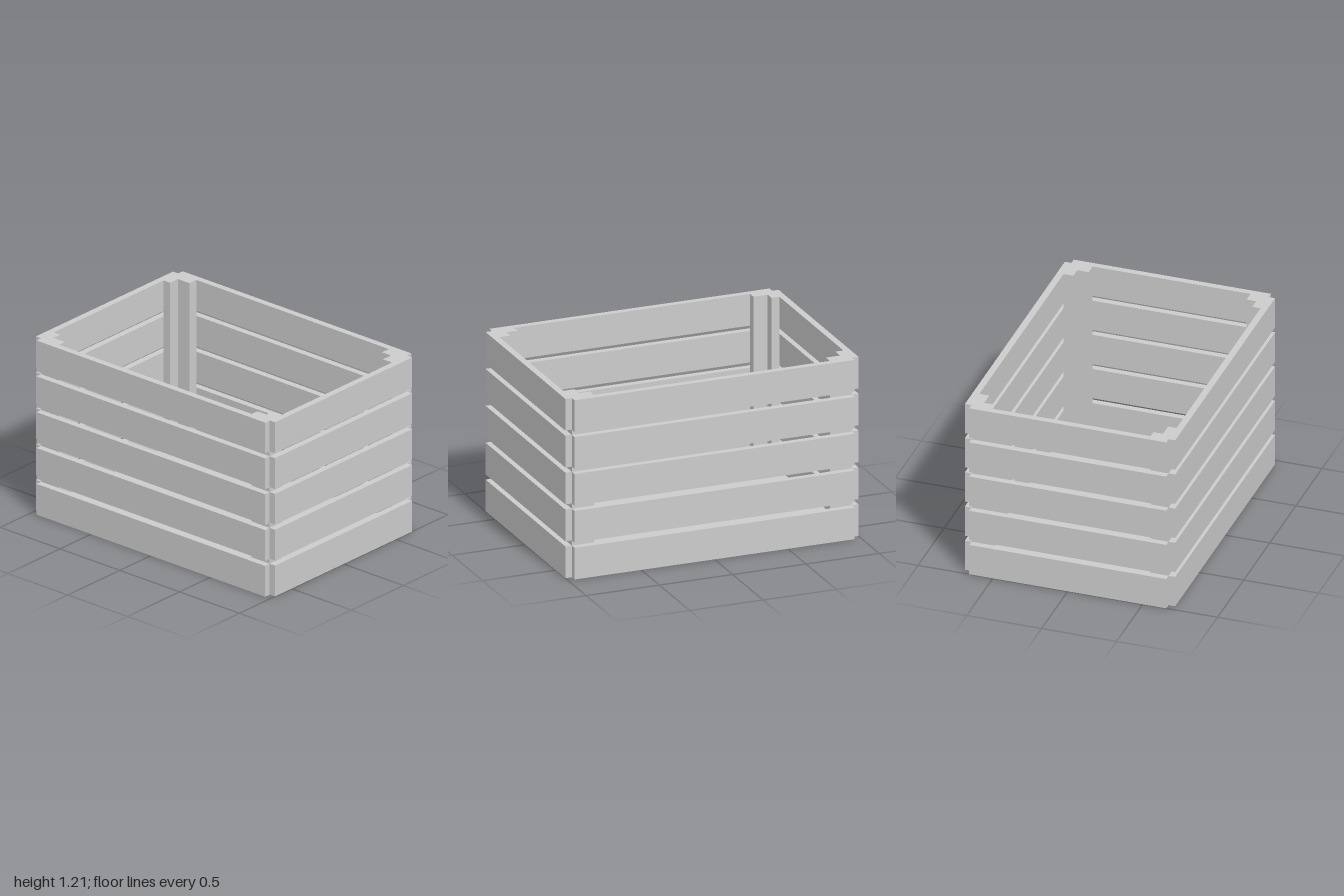
import * as THREE from 'three';

const material = new THREE.MeshStandardMaterial({ color: 0xcccccc, flatShading: true });

// Box given by its lower and upper limits on each axis
function board(name, [x0, x1], [y0, y1], [z0, z1]) {
  const mesh = new THREE.Mesh(new THREE.BoxGeometry(x1 - x0, y1 - y0, z1 - z0), material);
  mesh.position.set((x0 + x1) / 2, (y0 + y1) / 2, (z0 + z1) / 2);
  mesh.name = name;
  return mesh;
}

// Upright with an L-shaped section; corner is the outer edge, the rest are inner limits
function cornerPost(name, corner, longX, shortX, shortZ, longZ, bottom, top) {
  const [cx, cz] = corner;
  const section = [[cx, cz], [longX, cz], [longX, shortZ], [shortX, shortZ], [shortX, longZ], [cx, longZ]];
  const shape = new THREE.Shape(section.map(([x, z]) => new THREE.Vector2(x, -z)));
  const geometry = new THREE.ExtrudeGeometry(shape, { depth: top - bottom, bevelEnabled: false });
  geometry.rotateX(-Math.PI / 2).translate(0, bottom, 0);
  const mesh = new THREE.Mesh(geometry, material);
  mesh.name = name;
  return mesh;
}

export function createModel() {
  const crate = new THREE.Group();
  crate.name = 'slattedCrate';

  const inX = 0.956, inZ = 0.658;   // inside faces of the slats
  const outX = 1, outZ = 0.702;     // outside faces of the slats
  const height = 1.205, slatHeight = 0.213, rows = 5;
  const floorTop = 0.04;

  // Floor between the slats
  crate.add(board('floor', [-inX, inX], [0, floorTop], [-inZ, inZ]));

  // Five rows of slats on all four sides
  for (let i = 0; i < rows; i++) {
    const y0 = i * (height - slatHeight) / (rows - 1);
    const y = [y0, y0 + slatHeight];
    crate.add(
      board('frontSlat', [-inX, inX], y, [inZ, outZ]),
      board('backSlat', [-inX, inX], y, [-outZ, -inZ]),
      board('leftSlat', [inX, outX], y, [-inZ, inZ]),
      board('rightSlat', [-outX, -inX], y, [-inZ, inZ])
    );
  }

  // Stepped posts inside the corners
  for (const sx of [-1, 1]) {
    for (const sz of [-1, 1]) {
      const name = (sz > 0 ? 'front' : 'back') + (sx > 0 ? 'Left' : 'Right') + 'Post';
      crate.add(cornerPost(
        name, [sx * inX, sz * inZ],
        sx * 0.805, sx > 0 ? 0.88 : -0.902,
        sz > 0 ? 0.602 : -0.592, sz > 0 ? 0.538 : -0.516,
        floorTop, height
      ));
    }
  }

  return crate;
}
